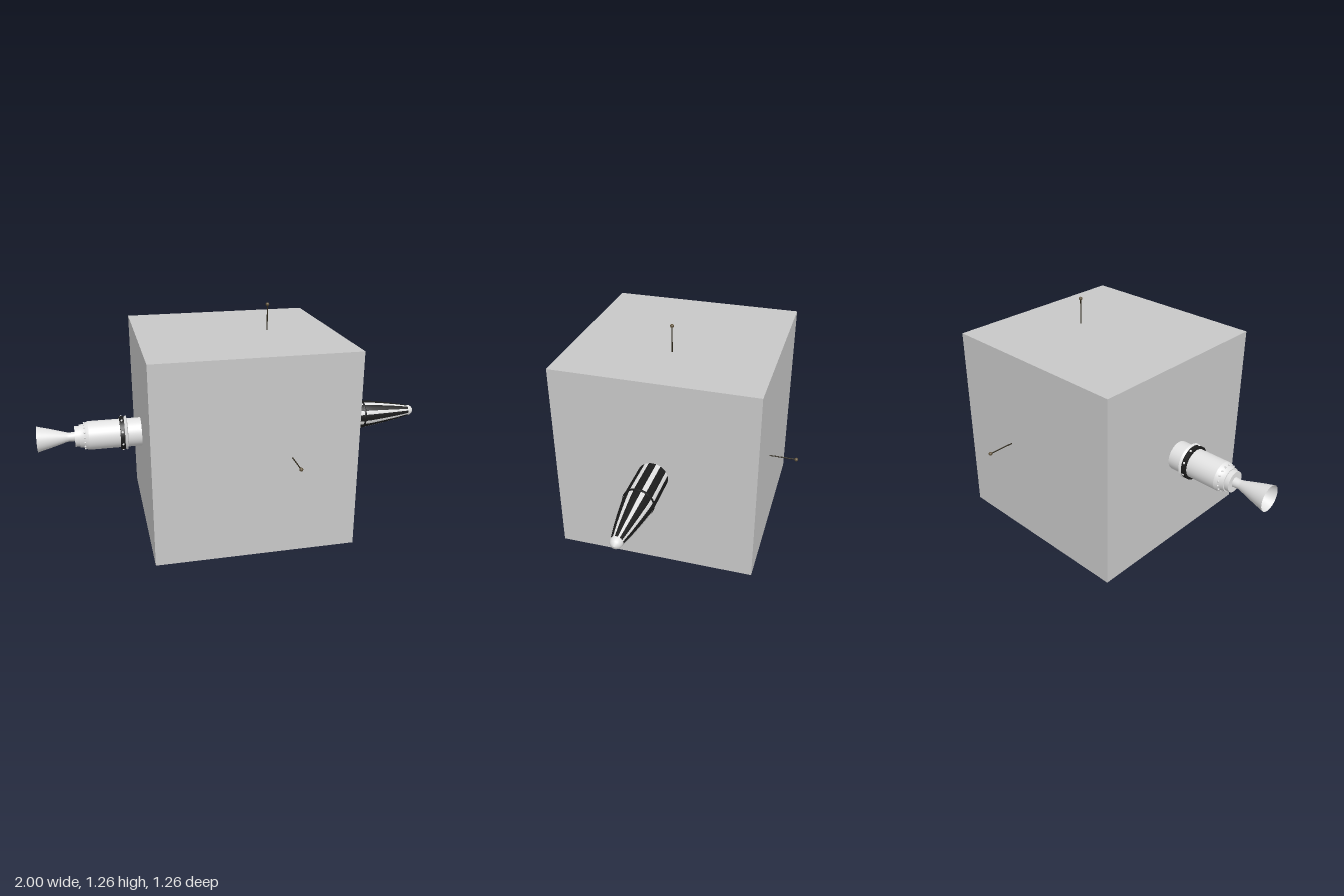
import * as THREE from 'three';

const mat = (name, color) => new THREE.MeshStandardMaterial({ name, color, side: THREE.DoubleSide });

export function createModel() {
  const white = mat('white', 0xe2e2e2);
  const grey = mat('grey', 0xc8c8c8);
  const black = mat('black', 0x1c1c1c);
  const rodDark = mat('rodDark', 0x2c2618);
  const bronze = mat('bronze', 0x62543c);

  const model = new THREE.Group();
  const craft = new THREE.Group();
  craft.name = 'spacecraft';
  craft.position.y = 0.63;
  model.add(craft);

  const add = (name, geometry, material, parent = craft) => {
    const mesh = new THREE.Mesh(geometry, material);
    mesh.name = name;
    parent.add(mesh);
    return mesh;
  };
  // Turned part along x from [x, radius] pairs; a repeated pair makes a sharp edge
  const turned = (name, profile, material, start = 0, sweep = Math.PI * 2, segments = 48) => {
    const points = profile.map(([x, r]) => new THREE.Vector2(r, x));
    const geometry = new THREE.LatheGeometry(points, segments, start, sweep).rotateZ(-Math.PI / 2);
    return add(name, geometry, material);
  };

  // Large plain cube around the middle of the craft
  add('cube', new THREE.BoxGeometry(0.98, 0.98, 0.98), grey);

  // Striped nose section: alternating black and white strips
  const nose = [[0.1, 0.074], [0.49, 0.074], [0.68, 0.074], [0.74, 0.069],
    [0.82, 0.057], [0.9, 0.043], [0.965, 0.029]];
  const pitch = Math.PI / 4;
  const blackSweep = pitch * 0.62;
  for (let i = 0; i < 8; i++) {
    const start = i * pitch - blackSweep / 2;
    turned('blackStripe', nose, black, start, blackSweep, 5);
    turned('whiteStripe', nose, white, start + blackSweep, pitch - blackSweep, 3);
  }
  turned('noseSeam', [[0.694, 0.073], [0.694, 0.0755], [0.704, 0.0745], [0.704, 0.072]], black);
  turned('noseTip', [[0.965, 0.029], [0.978, 0.027], [0.988, 0.021], [0.996, 0.011], [1, 0]], white);

  // Motor casing with stepped rear end
  turned('motorCasing', [[-0.818, 0.02], [-0.818, 0.02], [-0.818, 0.052], [-0.818, 0.052],
    [-0.795, 0.052], [-0.795, 0.052], [-0.795, 0.058], [-0.795, 0.058], [-0.775, 0.06],
    [-0.765, 0.067], [-0.75, 0.072], [-0.75, 0.072], [0.1, 0.072]], white);

  // Black clamp ring, with a pale flange in front of it
  turned('clampRing', [[-0.596, 0.07], [-0.596, 0.07], [-0.596, 0.084], [-0.596, 0.084],
    [-0.574, 0.084], [-0.574, 0.084], [-0.574, 0.07]], black);
  turned('flange', [[-0.574, 0.07], [-0.574, 0.078], [-0.574, 0.078], [-0.562, 0.088],
    [-0.562, 0.088], [-0.558, 0.072]], white);

  // Bolts around the clamp ring and the rear shoulder
  const boltRing = (name, count, x, radius, size, material) => {
    for (let i = 0; i < count; i++) {
      const a = ((i + 0.5) / count) * Math.PI * 2;
      add(name, new THREE.SphereGeometry(size, 10, 8), material)
        .position.set(x, Math.cos(a) * radius, Math.sin(a) * radius);
    }
  };
  boltRing('clampBolt', 8, -0.585, 0.083, 0.006, white);
  boltRing('shoulderBolt', 16, -0.77, 0.065, 0.005, white);

  // Open bell nozzle
  turned('nozzle', [[-1, 0.064], [-0.95, 0.051], [-0.9, 0.037], [-0.86, 0.025],
    [-0.845, 0.022], [-0.815, 0.024]], white);

  // Four rod antennas with ball tips
  for (let i = 0; i < 4; i++) {
    const antenna = new THREE.Group();
    antenna.name = 'antenna';
    antenna.position.x = 0.165;
    antenna.rotation.x = i * Math.PI / 2;
    craft.add(antenna);
    add('rod', new THREE.CylinderGeometry(0.0028, 0.0028, 0.56, 10), rodDark, antenna).position.y = 0.34;
    add('rodTip', new THREE.SphereGeometry(0.009, 16, 12), bronze, antenna).position.y = 0.621;
  }
  return model;
}
